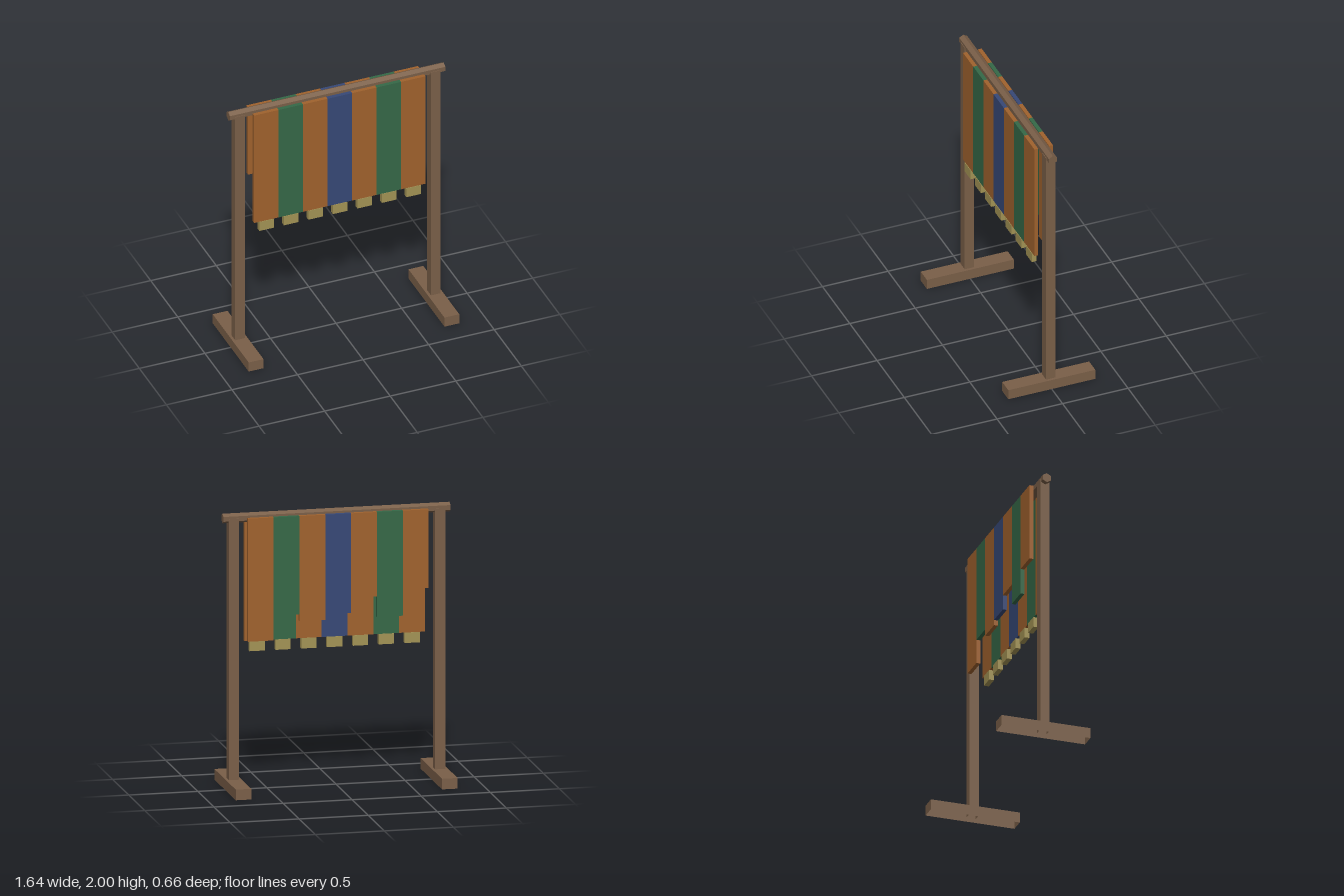
import * as THREE from 'three';

const material = (color) =>
  new THREE.MeshStandardMaterial({ color, flatShading: true, side: THREE.DoubleSide });

// Box given by its limits on each axis; openBottom drops the underside
function block(name, mat, [x0, x1], [y0, y1], [z0, z1], openBottom = false) {
  const geo = new THREE.BoxGeometry(x1 - x0, y1 - y0, z1 - z0);
  if (openBottom) {
    const index = Array.from(geo.index.array);
    index.splice(18, 6);
    geo.setIndex(index);
    geo.clearGroups();
  }
  geo.translate((x0 + x1) / 2, (y0 + y1) / 2, (z0 + z1) / 2);
  const mesh = new THREE.Mesh(geo, mat);
  mesh.name = name;
  return mesh;
}

export function createModel() {
  const model = new THREE.Group();
  model.name = 'bannerStand';

  const wood = material(0x7a5f48);
  const orange = material(0xa0622d);
  const green = material(0x356847);
  const blue = material(0x374876);
  const straw = material(0xa39355);

  // Feet and posts, hollow underneath
  for (const [side, s] of [['left', 1], ['right', -1]]) {
    const span = (a, b) => (s > 0 ? [a, b] : [-b, -a]);
    model.add(block(side + 'Foot', wood, span(0.69, 0.803), [0, 0.077], [-0.332, 0.332], true));
    model.add(block(side + 'Post', wood, span(0.71, 0.783), [0.02, 1.965], [-0.035, 0.035], true));
  }

  // Six-sided crossbar with a flat top
  const barGeo = new THREE.CylinderGeometry(0.035, 0.035, 1.644, 6);
  barGeo.rotateY(Math.PI / 2).rotateZ(Math.PI / 2);
  barGeo.computeBoundingBox();
  barGeo.translate(0, 2 - barGeo.boundingBox.max.y, 0);
  const bar = new THREE.Mesh(barGeo, wood);
  bar.name = 'crossbar';
  model.add(bar);

  // Cloth strips: even in front, ragged behind; listed from -x to +x
  const stripes = [orange, green, orange, blue, orange, green, orange];
  const backHems = [1.4, 1.21, 1.36, 1.25, 1.21, 1.26, 1.08];
  const width = 1.308 / stripes.length;
  stripes.forEach((mat, i) => {
    const centre = (i - 3) * width;
    const x = [centre - width / 2, centre + width / 2];
    model.add(block('frontStrip', mat, x, [1.06, 1.97], [0.042, 0.071]));
    model.add(block('backStrip', mat, x, [backHems[i], 1.97], [-0.071, -0.042]));
    // Hem tab
    model.add(block('hemTab', straw, [centre - 0.055, centre + 0.055], [0.985, 1.06], [0.038, 0.075]));
  });

  return model;
}
